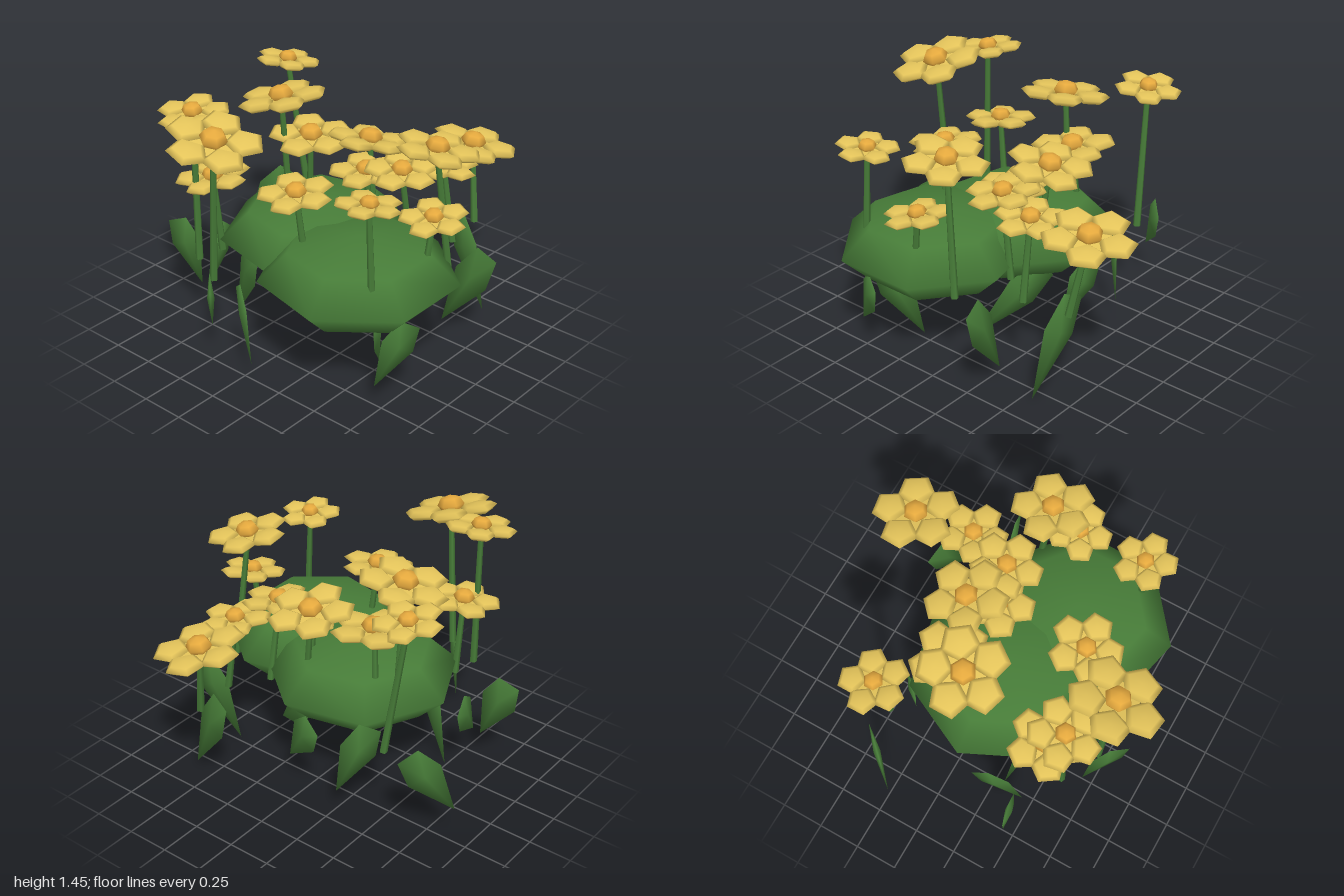
import * as THREE from 'three';
import { mergeGeometries, mergeVertices } from 'three/addons/utils/BufferGeometryUtils.js';

const mat = (name, color) => {
  const m = new THREE.MeshStandardMaterial({ color });
  m.name = name;
  return m;
};

// Head centre x, y, z, radius, stem base x, z, tilt about x, tilt about z, yaw
const FLOWERS = [
  [0.36, 1.33, -0.67, 0.18, 0.40, -0.56, 0.04, -0.14, 0],
  [-0.62, 1.39, -0.45, 0.19, -0.63, -0.44, 0, 0.12, 0.2],
  [-0.76, 1.36, -0.16, 0.25, -0.74, -0.22, 0.25, 0.08, 0.2],
  [0.0, 1.29, -0.39, 0.24, 0.05, -0.38, -0.18, 0.03, 0],
  [0.13, 1.04, -0.29, 0.23, 0.16, -0.33, 0.05, 0.08, 0.5],
  [-0.51, 0.98, -0.43, 0.2, -0.47, -0.42, -0.1, 0.08, 0.6],
  [0.24, 1.08, 0.05, 0.23, 0.21, 0.12, 0, -0.2, 0.45],
  [0.1, 0.97, 0.14, 0.2, 0.13, 0.16, 0, 0.05, 0.6],
  [0.16, 1.01, 0.34, 0.2, 0.23, 0.36, 0.08, 0.08, 0.5],
  [0.42, 0.98, 0.43, 0.19, 0.43, 0.5, 0.08, -0.06, 0.5],
  [0.76, 0.97, 0.38, 0.24, 0.7, 0.46, 0.12, -0.13, -0.1],
  [0.05, 1.28, 0.65, 0.22, 0.13, 0.7, 0.12, -0.13, 0],
  [-0.08, 0.96, 0.74, 0.18, -0.14, 0.72, 0.03, 0.12, 0.5],
  [-0.51, 1.18, 0.66, 0.17, -0.52, 0.7, 0, -0.1, 0.63],
  [-0.45, 1.04, 0.12, 0.2, -0.42, 0.17, 0, 0.1, 0.63],
];

// Leaf base and hanging tip
const LEAVES = [
  [[0.34, 0.58, 0.8], [0.3, 0.08, 0.54]],
  [[0.65, 0.58, 0.36], [0.59, 0.04, 0.62]],
  [[0.25, 0.47, 0.08], [0.04, 0.13, 0.44]],
  [[0.33, 0.57, -0.42], [0.46, 0.17, -0.29]],
  [[0.42, 0.57, -0.73], [0.23, 0.2, -0.91]],
  [[0.43, 0.5, -0.1], [0.38, 0.2, 0.1]],
  [[-0.36, 0.48, 0.82], [-0.54, 0.15, 0.73]],
  [[-0.45, 0.5, 0.66], [-0.25, 0.07, 0.54]],
  [[-0.84, 0.57, -0.15], [-0.7, 0.18, -0.29]],
  [[-0.68, 0.5, -0.1], [-0.81, 0.15, 0.11]],
  [[-0.47, 0.58, -0.78], [-0.44, 0.2, -0.63]],
  [[-0.22, 0.5, -0.63], [-0.46, 0.2, -0.57]],
  [[-0.4, 0.55, -0.25], [-0.3, 0.0, -0.49]],
];

// Kite-shaped blade standing in the upright plane through its base and tip
function leafGeometry(base, tip) {
  const a = new THREE.Vector3(...base), b = new THREE.Vector3(...tip);
  const along = b.clone().sub(a);
  const normal = new THREE.Vector3(along.z, 0, -along.x).normalize();
  const across = new THREE.Vector3().crossVectors(normal, along).normalize();
  const at = (t, w, n) => a.clone().addScaledVector(along, t)
    .addScaledVector(across, w).addScaledVector(normal, n);
  const rim = [at(0, 0.065, 0), at(0.35, 0.105, 0), at(1, 0, 0), at(0.35, -0.105, 0), at(0, -0.065, 0)];
  const pos = [];
  for (const s of [1, -1]) {
    const ridge = at(0.35, 0, 0.02 * s);
    rim.forEach((p, i) => {
      const q = rim[(i + 1) % rim.length];
      const tri = s > 0 ? [ridge, q, p] : [ridge, p, q];
      tri.forEach((v) => pos.push(v.x, v.y, v.z));
    });
  }
  const g = new THREE.BufferGeometry();
  g.setAttribute('position', new THREE.Float32BufferAttribute(pos, 3));
  const welded = mergeVertices(g);
  welded.computeVertexNormals();
  return welded;
}

// Five broad flattened petals, blunt at the outside and pointed at the middle
function petalsGeometry() {
  const petals = [];
  for (let i = 0; i < 5; i++) {
    petals.push(new THREE.SphereGeometry(1, 5, 4).scale(0.105, 0.032, 0.114)
      .rotateZ(0.04).translate(0.155, 0, 0)
      .rotateY(Math.PI / 2 + i * Math.PI * 2 / 5));
  }
  return mergeGeometries(petals);
}

export function createModel() {
  const root = new THREE.Group();
  const green = mat('foliage green', 0x477c38);
  const yellow = mat('petal yellow', 0xe4c45a);
  const orange = mat('flower centre orange', 0xe6aa3e);

  const add = (name, geometry, material, parent = root) => {
    const mesh = new THREE.Mesh(geometry, material);
    mesh.name = name;
    parent.add(mesh);
    return mesh;
  };

  // Two overlapping seven-sided mounds
  const mound = new THREE.SphereGeometry(0.55, 7, 4).rotateY(-Math.PI / 2).scale(1, 0.4, 1);
  add('frontMound', mound, green).position.set(-0.27, 0.595, 0.4);
  add('backMound', mound, green).position.set(-0.07, 0.595, -0.065);

  // Hanging leaves
  LEAVES.forEach(([base, tip]) => add('leaf', leafGeometry(base, tip), green));

  // Flowers on leaning stems
  const petals = petalsGeometry();
  const cup = new THREE.CylinderGeometry(0.12, 0.06, 0.02, 10);
  const centre = new THREE.SphereGeometry(0.073, 6, 4).scale(1, 0.72, 1);
  const up = new THREE.Vector3(0, 1, 0);
  for (const [x, y, z, r, bx, bz, tx, tz, yaw] of FLOWERS) {
    const flower = new THREE.Group();
    flower.name = 'flower';
    root.add(flower);

    const foot = new THREE.Vector3(bx, 0.52, bz), top = new THREE.Vector3(x, y, z);
    const dir = top.clone().sub(foot);
    const stem = add('stem', new THREE.CylinderGeometry(0.016, 0.022, dir.length(), 5), green, flower);
    stem.position.copy(foot).add(top).multiplyScalar(0.5);
    stem.quaternion.setFromUnitVectors(up, dir.normalize());

    const head = new THREE.Group();
    head.name = 'flowerHead';
    head.position.copy(top);
    head.rotation.set(tx, 0, tz);
    head.scale.setScalar(r / 0.24);
    flower.add(head);
    add('petals', petals, yellow, head).rotation.y = yaw;
    add('flowerCup', cup, yellow, head).position.y = -0.012;
    add('flowerCentre', centre, orange, head).position.y = 0.022;
  }
  return root;
}
